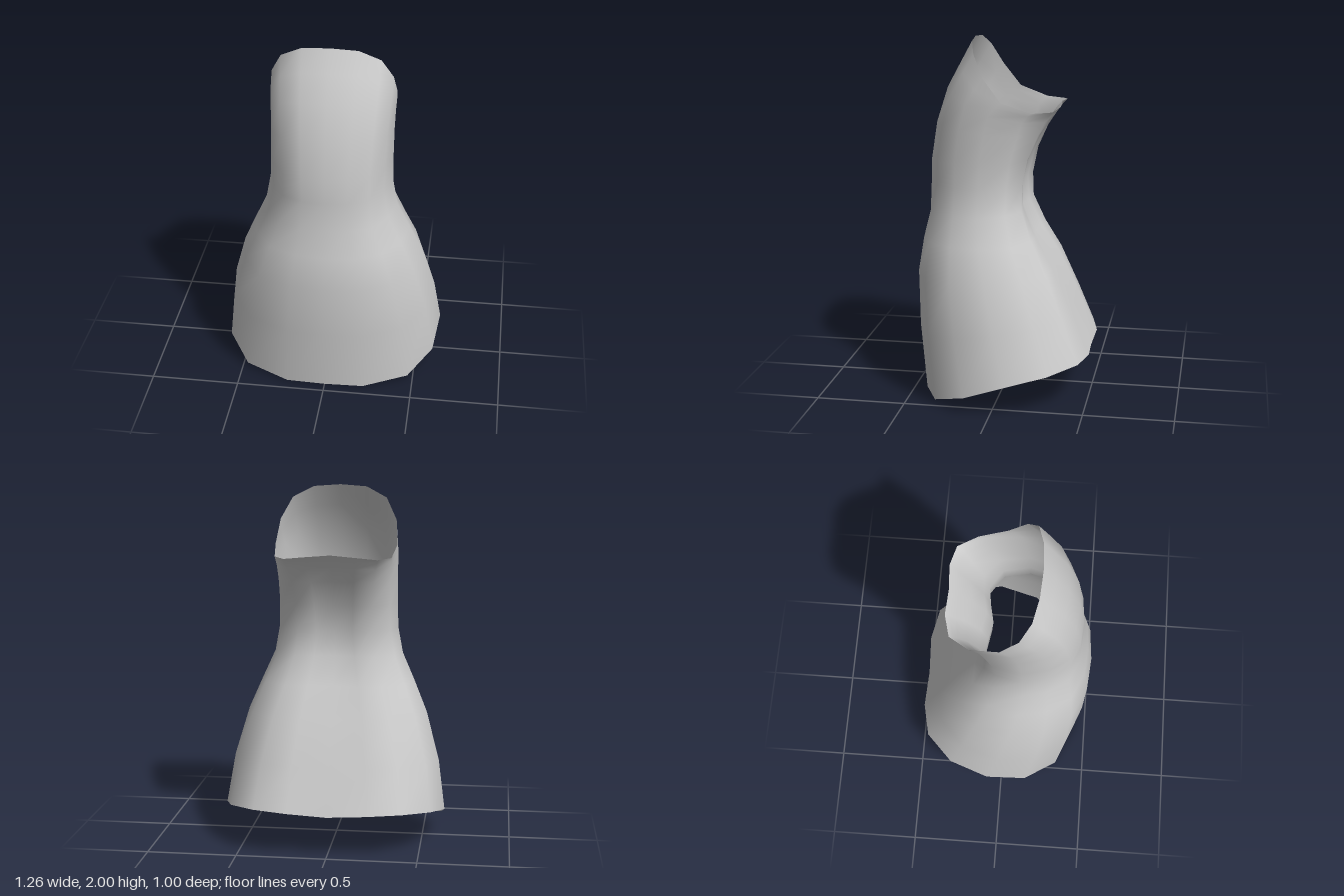
import * as THREE from 'three';

// Half cross-sections from front centre round to back centre:
// x = share of half width, z = 1 at the front to 0 at the back, y = share of the front-to-back rise
const HEM = {
  x: [0, 0.35, 0.746, 0.955, 1, 0.89, 0.65, 0.35, 0],
  z: [1, 0.98, 0.874, 0.68, 0.437, 0.2, 0.042, 0, 0.01],
  y: [0, -0.04, 0.07, 0.38, 0.76, 0.98, 1.09, 1.07, 1],
};
const WAIST = {
  x: [0, 0.36, 0.68, 0.89, 1, 0.91, 0.6, 0.3, 0],
  z: [1, 0.98, 0.88, 0.67, 0.41, 0.13, 0, 0.025, 0.065],
  y: [0, 0.02, 0.12, 0.33, 0.6, 0.87, 1, 0.98, 0.94],
};
const RIM = {
  x: [0, 0.44, 0.78, 0.96, 1, 0.94, 0.75, 0.41, 0],
  z: [1, 0.98, 0.92, 0.8, 0.6, 0.28, 0.06, 0, 0.02],
  y: [0, 0.03, 0.2, 0.54, 0.91, 1.07, 1.07, 1.03, 1],
};

// Rings from hem to rim: half width, front z, back z, front y, back y,
// blend (0 = hem section, 1 = waist section, 2 = rim section)
const RINGS = [
  [0.63, 0.45, -0.5, 0.01, 0.235, 0],
  [0.59, 0.485, -0.4, 0.38, 0.48, 0.15],
  [0.515, 0.495, -0.29, 0.69, 0.73, 0.35],
  [0.44, 0.465, -0.19, 0.88, 0.9, 0.6],
  [0.37, 0.428, -0.12, 1.03, 1.06, 0.85],
  [0.342, 0.422, -0.115, 1.2, 1.2, 1],
  [0.34, 0.418, -0.15, 1.33, 1.35, 1.15],
  [0.34, 0.385, -0.22, 1.54, 1.49, 1.4],
  [0.343, 0.32, -0.27, 1.74, 1.575, 1.7],
  [0.345, 0.245, -0.298, 1.88, 1.62, 1.85],
  [0.343, 0.18, -0.32, 2, 1.65, 2],
];
const SIDES = 16;

function sectionValue(key, i, blend) {
  return blend <= 1
    ? THREE.MathUtils.lerp(HEM[key][i], WAIST[key][i], blend)
    : THREE.MathUtils.lerp(WAIST[key][i], RIM[key][i], blend - 1);
}

// Open sleeve: loft the mirrored sections, sharing vertices for smooth normals
function sleeveGeometry() {
  const positions = [];
  const index = [];
  RINGS.forEach(([width, front, back, yFront, yBack, blend], r) => {
    for (let s = 0; s < SIDES; s++) {
      const mirrored = s > SIDES / 2;
      const i = mirrored ? SIDES - s : s;
      positions.push(
        (mirrored ? -1 : 1) * width * sectionValue('x', i, blend),
        THREE.MathUtils.lerp(yFront, yBack, sectionValue('y', i, blend)),
        THREE.MathUtils.lerp(back, front, sectionValue('z', i, blend)),
      );
      if (r === RINGS.length - 1) continue;
      const a = r * SIDES + s;
      const b = r * SIDES + ((s + 1) % SIDES);
      index.push(a, b, b + SIDES, a, b + SIDES, a + SIDES);
    }
  });
  const geometry = new THREE.BufferGeometry();
  geometry.setAttribute('position', new THREE.Float32BufferAttribute(positions, 3));
  geometry.setIndex(index);
  geometry.computeVertexNormals();
  return geometry;
}

export function createModel() {
  const group = new THREE.Group();
  group.name = 'openSleeve';
  const material = new THREE.MeshStandardMaterial({ color: 0xcccccc, side: THREE.DoubleSide });
  const sleeve = new THREE.Mesh(sleeveGeometry(), material);
  sleeve.name = 'sleeve';
  group.add(sleeve);
  return group;
}
